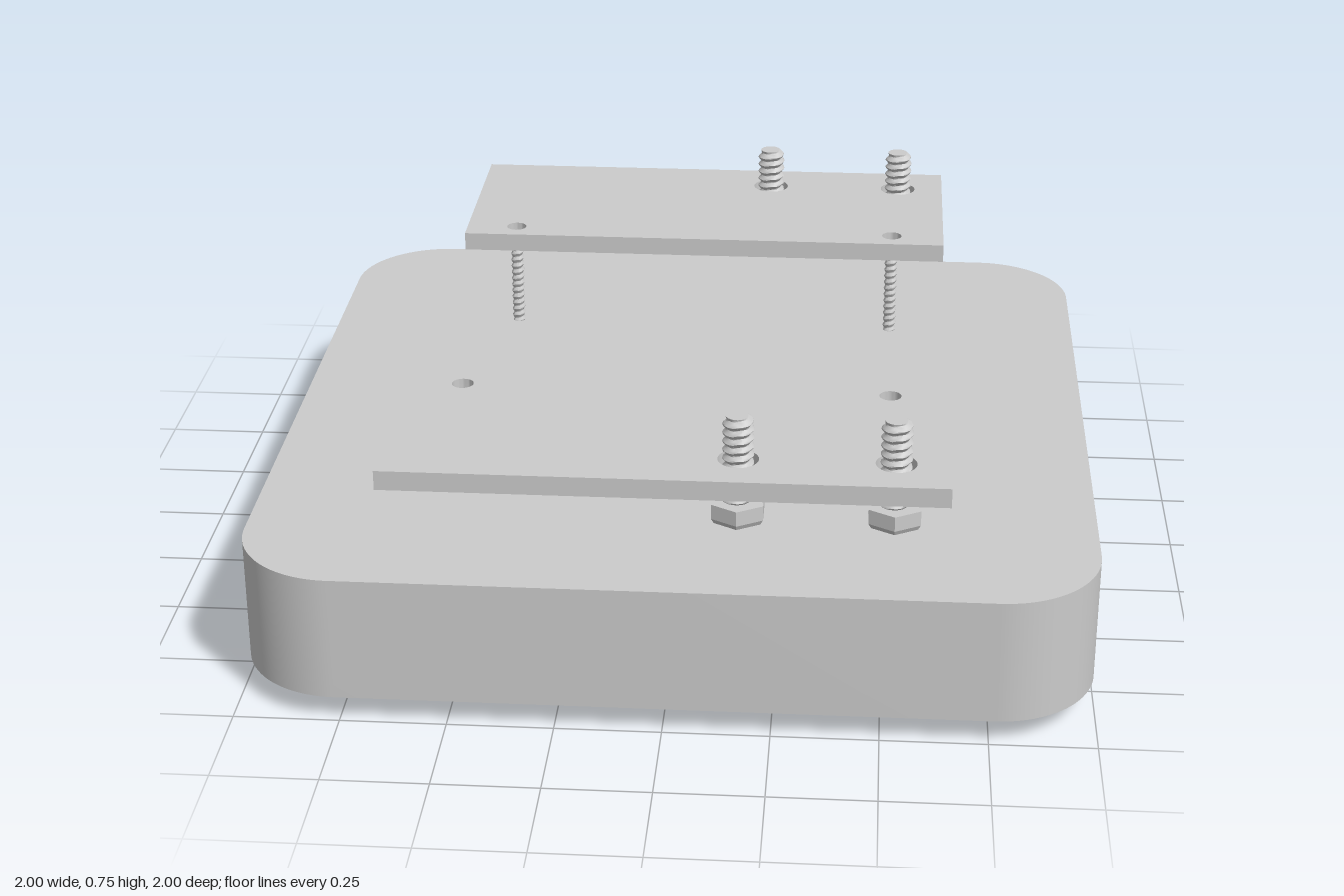
import * as THREE from 'three';
import { toCreasedNormals } from 'three/addons/utils/BufferGeometryUtils.js';

const material = new THREE.MeshStandardMaterial({ color: 0xcccccc });
const ROD = { xs: [-0.51, 0.505], z: 0.507, r: 0.018, hole: 0.026 };
const BOLT = { xs: [0.165, 0.52], z: 0.863, r: 0.037, hole: 0.047 };

function add(parent, name, geometry, x = 0, y = 0, z = 0) {
  const mesh = new THREE.Mesh(geometry, material);
  mesh.name = name;
  mesh.position.set(x, y, z);
  parent.add(mesh);
  return mesh;
}

// Extrude a plan outline upwards (plan y becomes -z)
function slab(shape, height, curveSegments) {
  const g = new THREE.ExtrudeGeometry(shape, { depth: height, bevelEnabled: false, curveSegments });
  g.rotateX(-Math.PI / 2);
  return toCreasedNormals(g, 0.5);
}

// Cylinder whose radius follows a helical V thread, standing on y = 0
function threadedRod(radius, height, pitch, depth) {
  const g = new THREE.CylinderGeometry(1, 1, height, 20, Math.round(height / pitch * 6));
  g.translate(0, height / 2, 0);
  const p = g.attributes.position;
  for (let i = 0; i < p.count; i++) {
    const x = p.getX(i), y = p.getY(i), z = p.getZ(i);
    const turn = y / pitch - Math.atan2(x, z) / (2 * Math.PI);
    const phase = turn - Math.floor(turn);
    // slight taper rounds off the free end
    const taper = Math.min(1, 0.8 + 0.2 * (height - y) / (radius * 0.4));
    const r = (radius - depth * Math.abs(2 * phase - 1)) * taper;
    p.setXYZ(i, x * r, y, z * r);
  }
  return toCreasedNormals(g, 0.6);
}

function roundedSquare(half, r) {
  const s = new THREE.Shape();
  const c = half - r;
  s.absarc(c, c, r, 0, Math.PI / 2);
  s.absarc(-c, c, r, Math.PI / 2, Math.PI);
  s.absarc(-c, -c, r, Math.PI, Math.PI * 1.5);
  s.absarc(c, -c, r, Math.PI * 1.5, Math.PI * 2);
  s.closePath();
  return s;
}

// Plate centred on its own z, drilled for the rods and bolts
function drilledPlate(side, zCentre) {
  const s = new THREE.Shape();
  s.moveTo(-0.643, -0.267);
  s.lineTo(0.643, -0.267);
  s.lineTo(0.643, 0.267);
  s.lineTo(-0.643, 0.267);
  s.closePath();
  for (const f of [ROD, BOLT]) {
    for (const x of f.xs) {
      const hole = new THREE.Path();
      hole.absarc(x, -side * (f.z - zCentre), f.hole, 0, Math.PI * 2, true);
      s.holes.push(hole);
    }
  }
  return slab(s, 0.047, 16);
}

export function createModel() {
  const model = new THREE.Group();
  model.name = 'mountingBase';

  // Base block and round foot
  add(model, 'baseBlock', slab(roundedSquare(1, 0.24), 0.307, 12), 0, 0.062, 0);
  const foot = new THREE.CylinderGeometry(0.708, 0.708, 0.062, 48);
  add(model, 'roundFoot', toCreasedNormals(foot, 0.05), 0, 0.031, 0);

  const rod = threadedRod(ROD.r, 0.25, 0.018, 0.005);
  const shank = threadedRod(BOLT.r, 0.215, 0.021, 0.009);
  // Hex head with a lightly chamfered underside
  const head = toCreasedNormals(new THREE.CylinderGeometry(0.068, 0.068, 0.036, 6), 0.3);
  const chamfer = toCreasedNormals(new THREE.CylinderGeometry(0.068, 0.061, 0.012, 6), 0.3);

  // Front and back clamp assemblies
  for (const side of [1, -1]) {
    const clamp = new THREE.Group();
    clamp.name = side > 0 ? 'frontClamp' : 'backClamp';
    model.add(clamp);
    const zCentre = 0.714;
    add(clamp, 'plate', drilledPlate(side, zCentre), 0, 0.595, side * zCentre);

    for (const x of ROD.xs) add(clamp, 'supportRod', rod, x, 0.36, side * ROD.z);

    for (const x of BOLT.xs) {
      const bolt = new THREE.Group();
      bolt.name = 'bolt';
      bolt.position.set(x, 0.493, side * BOLT.z);
      clamp.add(bolt);
      add(bolt, 'hexHead', head, 0, 0.03, 0);
      add(bolt, 'headChamfer', chamfer, 0, 0.006, 0);
      add(bolt, 'shank', shank, 0, 0.042, 0);
    }
  }
  return model;
}
